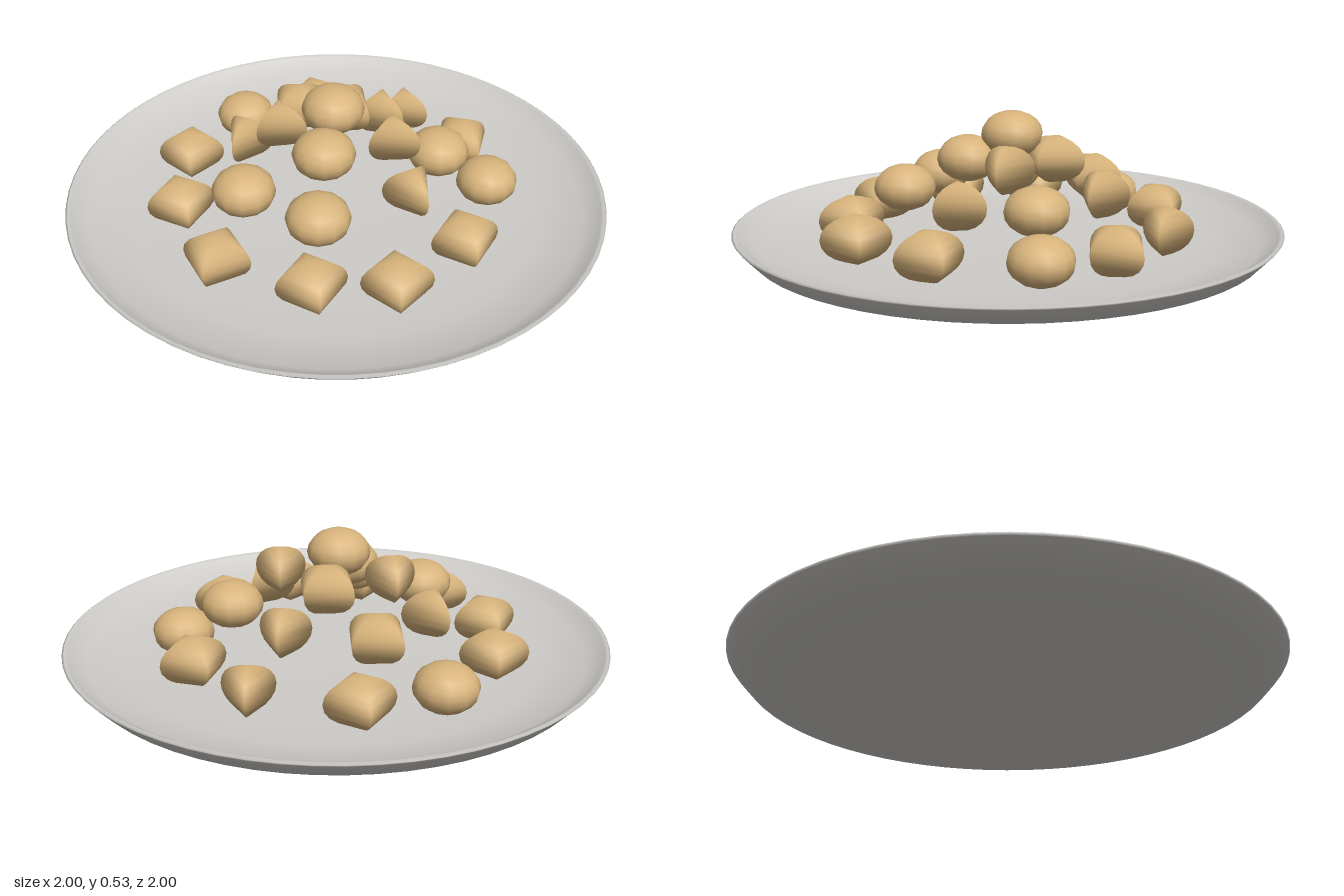
import * as THREE from 'three';

const plateMat = new THREE.MeshStandardMaterial({ name: 'plate grey', color: 0xcfcdc9 });
const biscuitMat = new THREE.MeshStandardMaterial({ name: 'biscuit tan', color: 0xd8b47c });

// Pillow-shaped pieces: squashed spheres with three, four or many sides
const shapes = {
  round: { geometry: new THREE.SphereGeometry(1, 12, 10), radius: 0.115 },
  square: { geometry: new THREE.SphereGeometry(1, 4, 10), radius: 0.126 },
  triangle: { geometry: new THREE.SphereGeometry(1, 3, 10), radius: 0.108 },
};

// Layers of the heap; each piece is [shape, x, z, direction of one corner in degrees]
const layers = [
  { y: 0.127, pieces: [
    ['round', -0.07, -0.61, 0],
    ['square', 0.23, -0.555, 15],
    ['triangle', 0.51, -0.3, 180],
    ['square', 0.57, 0.01, 0],
    ['round', 0.495, 0.28, 0],
    ['square', 0.215, 0.52, 15],
    ['square', -0.115, 0.59, 27],
    ['square', -0.365, 0.45, 16],
    ['square', -0.575, 0.165, 48],
    ['square', -0.55, -0.187, 12],
    ['square', -0.38, -0.467, 28],
  ] },
  { y: 0.245, pieces: [
    ['square', 0.06, -0.38, -17],
    ['triangle', -0.232, -0.28, -95],
    ['round', -0.39, 0.015, 0],
    ['round', -0.245, 0.29, 0],
    ['triangle', 0.12, 0.325, 92],
    ['round', 0.345, 0.165, 0],
    ['triangle', 0.31, -0.173, 188],
  ] },
  { y: 0.352, pieces: [
    ['triangle', -0.15, -0.15, 172],
    ['square', 0.11, -0.13, -20],
    ['round', -0.11, 0.1, 0],
    ['triangle', 0.155, 0.143, 178],
  ] },
  { y: 0.443, pieces: [['round', 0, -0.02, 0]] },
];

function makePlate() {
  // Underside, outer wall, thin rim, then the shallow dish
  const profile = [
    [0, 0], [0.76, 0.006], [0.94, 0.055], [0.995, 0.115], [1, 0.122], [0.992, 0.128],
    [0.98, 0.12], [0.92, 0.08], [0.76, 0.048], [0.5, 0.04], [0, 0.04],
  ].map(([r, y]) => new THREE.Vector2(r, y));
  const plate = new THREE.Mesh(new THREE.LatheGeometry(profile, 64), plateMat);
  plate.name = 'plate';
  return plate;
}

function makePiece([shape, x, z, corner], y) {
  const { geometry, radius } = shapes[shape];
  const piece = new THREE.Mesh(geometry, biscuitMat);
  piece.name = shape + 'Biscuit';
  piece.scale.set(radius, 0.086, radius);
  piece.position.set(x, y, z);
  // The first corner of the geometry points to -x
  piece.rotation.y = THREE.MathUtils.degToRad(180 - corner);
  return piece;
}

export function createModel() {
  const model = new THREE.Group();
  model.name = 'plateOfBiscuits';
  model.add(makePlate());

  const heap = new THREE.Group();
  heap.name = 'biscuitHeap';
  for (const { y, pieces } of layers) {
    for (const p of pieces) heap.add(makePiece(p, y));
  }
  model.add(heap);
  return model;
}
